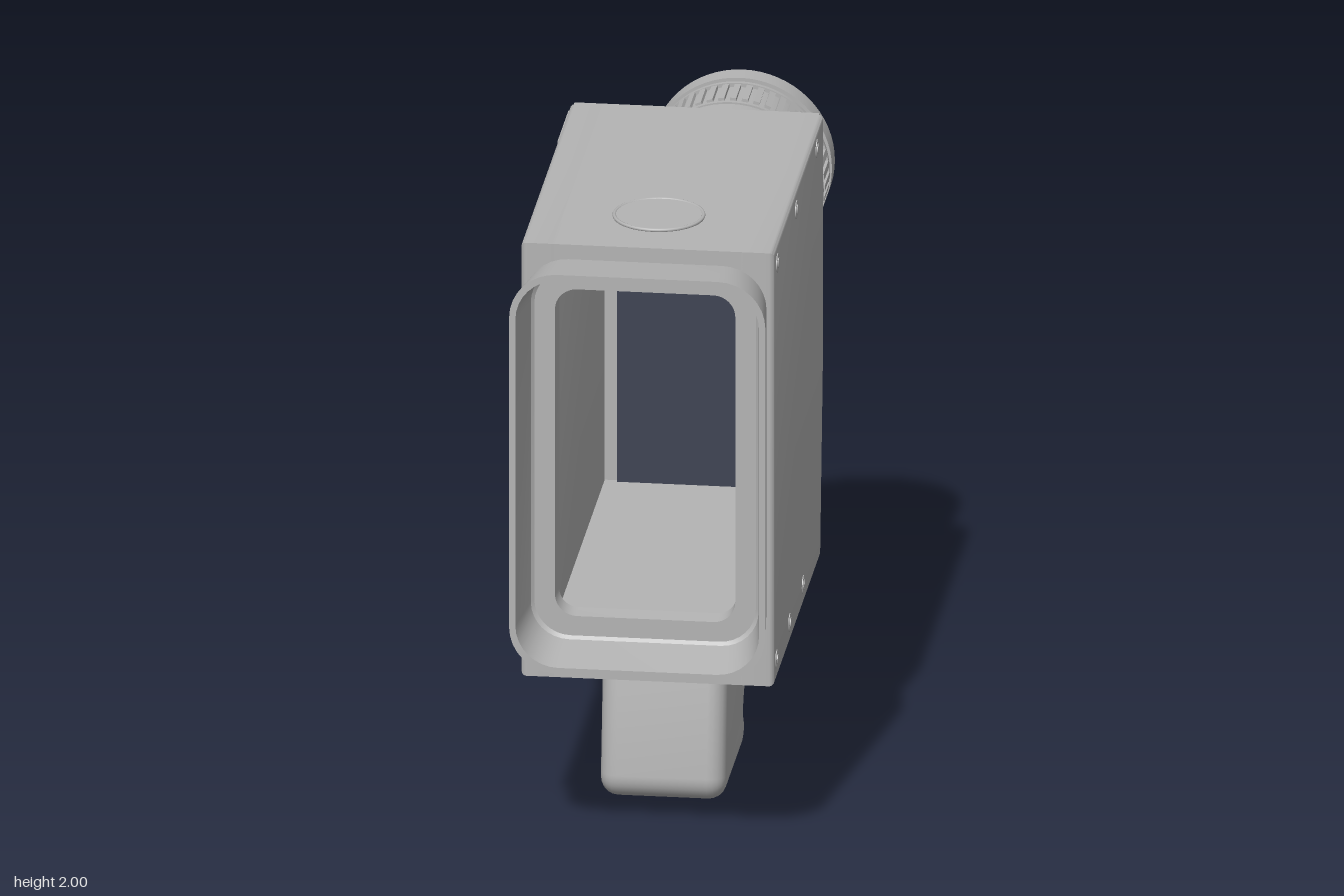
import * as THREE from 'three';
import { toCreasedNormals } from 'three/addons/utils/BufferGeometryUtils.js';

export function createModel() {
  const model = new THREE.Group();
  const grey = new THREE.MeshStandardMaterial({ color: 0xb4b4b4 });
  grey.name = 'casing grey';
  const dark = new THREE.MeshStandardMaterial({ color: 0x3f4453 });
  dark.name = 'dark glass';

  const add = (name, geo, x = 0, y = 0, z = 0, mat = grey) => {
    const mesh = new THREE.Mesh(geo, mat);
    mesh.name = name;
    mesh.position.set(x, y, z);
    model.add(mesh);
    return mesh;
  };
  const box = (name, w, h, d, x, y, z, mat) => add(name, new THREE.BoxGeometry(w, h, d), x, y, z, mat);
  const polygon = (pts) => new THREE.Shape(pts.map(([a, b]) => new THREE.Vector2(a, b)));

  // Extrudes a (z, y) side profile across x, centred on x = 0
  const extrudeSide = (shape, width, bevel = 0, offset = -bevel, segments = 3) => {
    const geo = new THREE.ExtrudeGeometry(shape, {
      depth: width - 2 * bevel, bevelEnabled: bevel > 0, bevelSize: bevel, bevelThickness: bevel,
      bevelOffset: offset, bevelSegments: segments, curveSegments: 10,
    });
    geo.translate(0, 0, bevel - width / 2).rotateY(-Math.PI / 2);
    return toCreasedNormals(geo, 0.6);
  };

  // Points of a rounded rectangle, counter-clockwise from the front
  const roundedLoop = ([hw, hh, r, z]) => {
    const out = [];
    [[1, 1], [-1, 1], [-1, -1], [1, -1]].forEach(([sx, sy], q) => {
      for (let i = 0; i <= 8; i++) {
        const a = (q + i / 8) * Math.PI / 2;
        out.push([sx * (hw - r) + r * Math.cos(a), sy * (hh - r) + r * Math.sin(a), z]);
      }
    });
    return out;
  };
  const loft = (sections) => {
    const loops = sections.map(roundedLoop), n = loops[0].length, index = [];
    for (let k = 0; k < loops.length - 1; k++) {
      for (let i = 0; i < n; i++) {
        const a = k * n + i, b = k * n + (i + 1) % n;
        index.push(a, b, a + n, b, b + n, a + n);
      }
    }
    const geo = new THREE.BufferGeometry();
    geo.setAttribute('position', new THREE.Float32BufferAttribute(loops.flat(2), 3));
    geo.setIndex(index);
    return toCreasedNormals(geo, 0.5);
  };

  // Casing: two side slabs joined by a C-shaped middle that leaves the front tunnel open
  const side = [[0.72, 0.54], [0.72, 1.99], [-0.53, 1.99], [-0.53, 1.17], [-0.46, 0.54]];
  for (const s of [1, -1]) {
    add(s > 0 ? 'leftCasing' : 'rightCasing', extrudeSide(polygon(side), 0.12, 0.015), s * 0.34);
  }
  const middle = [...side.slice(1), side[0], [0.72, 0.77], [-0.44, 0.77], [-0.44, 1.86], [0.72, 1.86]];
  add('middleCasing', extrudeSide(polygon(middle), 0.6));
  box('innerGlass', 0.48, 1.06, 0.008, 0, 1.3, -0.43, dark);

  // Neck and flared front hood, outside to inside
  add('frontHood', loft([
    [0.35, 0.615, 0.12, 0.715], [0.35, 0.615, 0.12, 0.775], [0.383, 0.645, 0.14, 0.775],
    [0.405, 0.668, 0.15, 0.98], [0.385, 0.648, 0.135, 0.98], [0.36, 0.622, 0.12, 0.79],
    [0.35, 0.612, 0.115, 0.78], [0.285, 0.547, 0.07, 0.78], [0.28, 0.543, 0.06, 0.71],
  ]), 0, 1.317, 0);

  // Round button on top
  add('topButton', new THREE.CylinderGeometry(0.135, 0.135, 0.02, 48), 0, 1.987, 0.43);
  add('topButtonRim', new THREE.TorusGeometry(0.14, 0.006, 8, 48).rotateX(Math.PI / 2), 0, 1.994, 0.43);

  // Side cover strip on the right
  box('coverStrip', 0.01, 1.46, 0.275, -0.4, 1.24, -0.385);

  // Screws: a flat washer with a raised head
  const screw = (x, y, z, axis) => {
    for (const [r, h] of [[0.03, 0.008], [0.016, 0.014]]) {
      const geo = new THREE.CylinderGeometry(r, r, h, 20);
      if (axis === 'x') geo.rotateZ(Math.PI / 2); else geo.rotateX(Math.PI / 2);
      add('screw', geo, x, y, z);
    }
  };
  const screws = [[0.64, 1.93], [0.16, 1.93], [-0.36, 1.94], [0.66, 0.61], [0.33, 0.61], [-0.01, 0.61]];
  screws.forEach(([z, y]) => screw(0.399, y, z, 'x'));
  [[-0.29, 1.7], [-0.49, 1.72], [-0.29, 0.95], [-0.49, 0.78]].forEach(([z, y]) => screw(-0.405, y, z, 'x'));

  // Raised rear frame around the recessed panel
  const frame = polygon([[-0.39, 1.27], [0.385, 1.27], [0.385, 1.985], [-0.39, 1.985]]);
  frame.holes.push(polygon([[-0.365, 1.295], [-0.365, 1.96], [0.36, 1.96], [0.36, 1.295]]));
  add('rearFrame', new THREE.ExtrudeGeometry(frame, { depth: 0.03, bevelEnabled: false }), 0, 0, -0.557);
  add('rearButton', new THREE.CylinderGeometry(0.055, 0.055, 0.02, 28).rotateX(Math.PI / 2), -0.27, 1.49, -0.535);
  box('rearSlot', 0.15, 0.055, 0.016, -0.26, 1.385, -0.535);
  screw(-0.15, 1.37, -0.532, 'z');
  screw(0.29, 1.36, -0.532, 'z');

  // Hollow eyepiece with grooves, turned around the z axis
  const eyeProfile = [
    [0.29, 0.52], [0.29, 0.67], [0.272, 0.67], [0.272, 0.685], [0.29, 0.685], [0.29, 0.7],
    [0.272, 0.7], [0.272, 0.725], [0.28, 0.725], [0.28, 0.85], [0.272, 0.85], [0.272, 0.872],
    [0.285, 0.872], [0.285, 0.887], [0.272, 0.887], [0.272, 0.905], [0.29, 0.905], [0.29, 0.98],
    [0.215, 0.98], [0.2, 0.56], [0, 0.56],
  ].map(([r, h]) => new THREE.Vector2(r, h));
  const eye = new THREE.LatheGeometry(eyeProfile, 64).rotateX(-Math.PI / 2);
  add('eyepiece', toCreasedNormals(eye, 0.5), 0.09, 1.67, 0);
  const ribs = 48;
  for (let i = 0; i < ribs; i++) {
    const a = (i / ribs) * Math.PI * 2;
    const rib = box('gripRib', 0.02, 0.02, 0.125, 0.09 + 0.28 * Math.cos(a), 1.67 + 0.28 * Math.sin(a), -0.787);
    rib.rotation.z = a;
  }

  // Hand grip with finger hollows along its back; the profile is inset by the rounding
  const b = 0.055;
  const grip = new THREE.Shape();
  grip.moveTo(0.29, b);
  grip.quadraticCurveTo(0.318, b, 0.315, b + 0.025);
  grip.lineTo(0.262, 0.45);
  grip.quadraticCurveTo(0.255, 0.485, 0.22, 0.485);
  grip.lineTo(-0.18, 0.485);
  const tips = [[-0.195, 0.47], [-0.175, 0.34], [-0.155, 0.21], [-0.14, 0.08]];
  tips.forEach(([z, y], i) => {
    if (i === 0) return grip.lineTo(z, y);
    const [pz, py] = tips[i - 1];
    grip.quadraticCurveTo((z + pz) / 2 + 0.06, (y + py) / 2, z, y);
  });
  grip.quadraticCurveTo(-0.135, b, -0.11, b);
  add('handGrip', extrudeSide(grip, 0.395, b, 0, 5));
  add('gripSocket', new THREE.CylinderGeometry(0.03, 0.03, 0.008, 6), 0, 0.004, 0.09);

  // Trigger on a short stem
  add('triggerStem', new THREE.CylinderGeometry(0.02, 0.02, 0.12, 16).rotateX(Math.PI / 2), 0, 0.36, -0.2);
  const trigger = polygon([[-0.23, 0.31], [-0.23, 0.41], [-0.25, 0.43], [-0.345, 0.43], [-0.345, 0.31]]);
  add('trigger', extrudeSide(trigger, 0.13, 0.012));

  return model;
}
